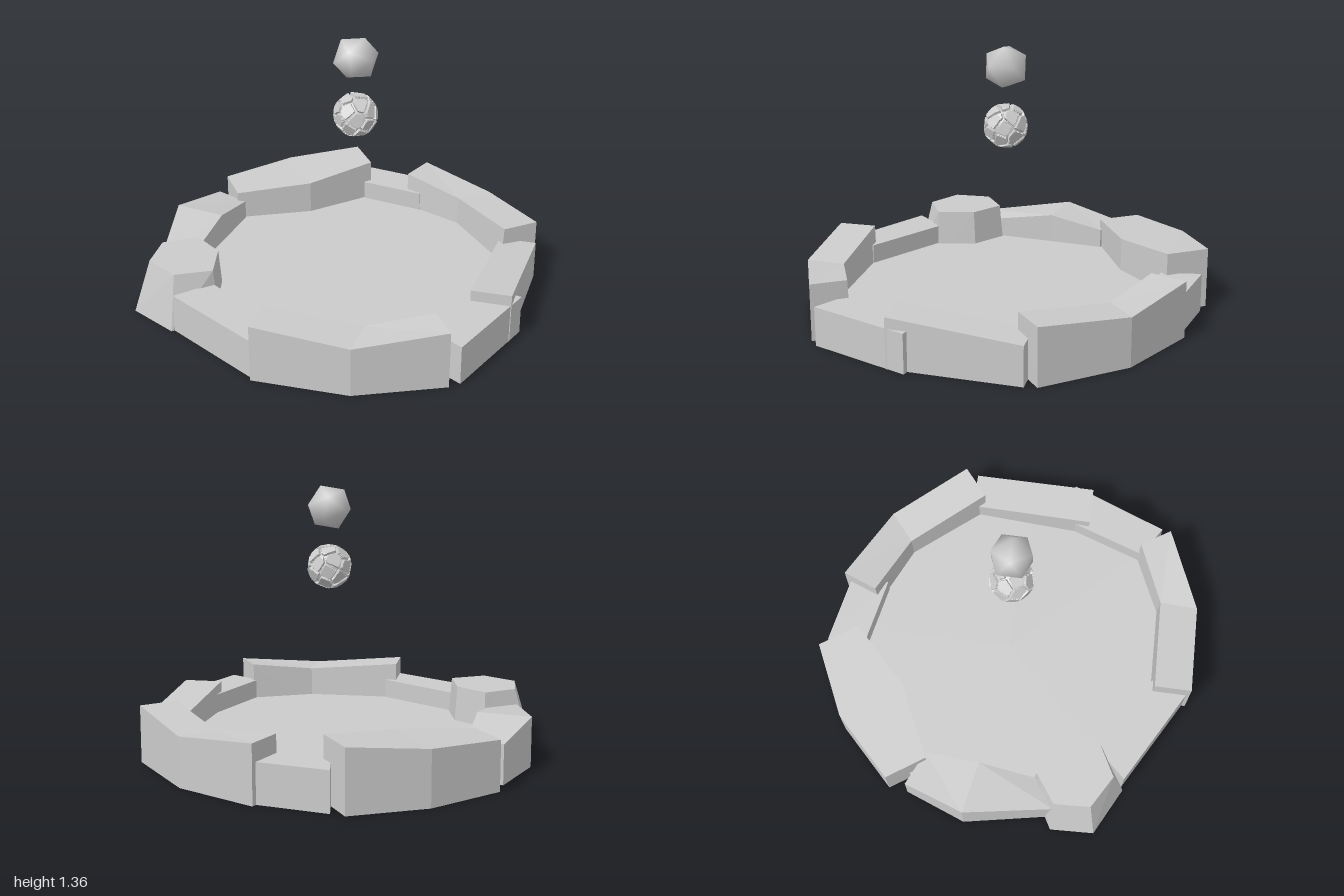
import * as THREE from 'three';
import { mergeVertices } from 'three/addons/utils/BufferGeometryUtils.js';
import { ConvexGeometry } from 'three/addons/geometries/ConvexGeometry.js';

const flat = new THREE.MeshStandardMaterial({ color: 0xcccccc, flatShading: true });
const smooth = new THREE.MeshStandardMaterial({ color: 0xcccccc });
const floorMat = new THREE.MeshStandardMaterial({ color: 0xcccccc, side: THREE.DoubleSide });

// Rim stone swept through stations: [outerX, outerZ, innerX, innerZ, topY].
// lean pushes the foot of the inner wall towards the centre.
function stoneGeometry(stations, lean) {
  const pos = [], idx = [];
  for (const [ox, oz, ix, iz, h] of stations) {
    const k = 1 - lean / Math.hypot(ix, iz);
    pos.push(ox, 0, oz, ox, h, oz, ix, h, iz, ix * k, 0, iz * k);
  }
  const quad = (a, b, c, d) => idx.push(a, b, c, a, c, d);
  for (let s = 0; s < stations.length - 1; s++) {
    const a = s * 4, b = a + 4;
    for (let k = 0; k < 4; k++) {
      const n = (k + 1) % 4;
      quad(a + k, a + n, b + n, b + k);
    }
  }
  const e = (stations.length - 1) * 4;
  quad(0, 3, 2, 1);
  quad(e, e + 1, e + 2, e + 3);
  const g = new THREE.BufferGeometry();
  g.setAttribute('position', new THREE.Float32BufferAttribute(pos, 3));
  g.setIndex(idx);
  g.computeVertexNormals();
  return g;
}

// Stones in order around the rim
const STONES = [
  ['backRightHandStone', [[-0.84, -0.54, -0.71, -0.35, 0.25], [-0.55, -0.83, -0.34, -0.53, 0.275], [-0.19, -1, -0.06, -0.81, 0.313]], 0],
  ['backStone', [[-0.12, -0.98, -0.09, -0.775, 0.2], [0.28, -0.905, 0.25, -0.71, 0.2]], 0],
  ['backLeftStone', [[0.24, -0.94, 0.17, -0.76, 0.292], [0.64, -0.74, 0.49, -0.615, 0.25], [0.95, -0.37, 0.8, -0.245, 0.292]], 0.012],
  ['leftStone', [[0.96, -0.31, 0.77, -0.31, 0.2], [0.93, 0.35, 0.73, 0.35, 0.257]], 0],
  ['frontLeftStone', [[0.965, 0.25, 0.76, 0.2, 0.2], [0.765, 0.76, 0.6, 0.66, 0.2]], 0],
  ['frontStone', [[0.72, 0.8, 0.62, 0.645, 0.292], [0.3, 0.985, 0.31, 0.785, 0.25], [-0.18, 0.99, -0.18, 0.795, 0.292]], 0.01],
  ['frontRightStone', [[-0.155, 0.985, -0.12, 0.785, 0.2], [-0.675, 0.69, -0.53, 0.53, 0.2]], 0],
  ['rightStone', [[-0.88, 0.34, -0.73, 0.24, 0.2], [-0.97, -0.12, -0.7, -0.07, 0.255], [-0.85, -0.44, -0.67, -0.36, 0.2]], 0],
];

// Ball of flat plates separated by grooves
function crackedBallGeometry(radius) {
  let seed = 7;
  const rand = () => (seed = (seed * 16807) % 2147483647) / 2147483647;
  const centres = [];
  const count = 28;
  for (let i = 0; i < count; i++) {
    const y = 1 - (2 * i + 1) / count, r = Math.sqrt(1 - y * y), a = i * 2.39996;
    centres.push(new THREE.Vector3(
      r * Math.cos(a) + (rand() - 0.5) * 0.3,
      y + (rand() - 0.5) * 0.3,
      r * Math.sin(a) + (rand() - 0.5) * 0.3).normalize());
  }
  const g = new THREE.IcosahedronGeometry(1, 30);
  const p = g.attributes.position, v = new THREE.Vector3();
  for (let i = 0; i < p.count; i++) {
    v.fromBufferAttribute(p, i).normalize();
    let best = -1, second = -1;
    for (const c of centres) {
      const d = v.dot(c);
      if (d > best) { second = best; best = d; } else if (d > second) second = d;
    }
    v.multiplyScalar(best - second < 0.035 ? radius * 0.9 : Math.min(radius * 0.965 / best, radius * 1.02));
    p.setXYZ(i, v.x, v.y, v.z);
  }
  g.computeVertexNormals();
  return g;
}

export function createModel() {
  const model = new THREE.Group();
  const add = (name, geometry, material) => {
    const mesh = new THREE.Mesh(geometry, material);
    mesh.name = name;
    model.add(mesh);
    return mesh;
  };

  // Stone rim
  for (const [name, stations, lean] of STONES) add(name, stoneGeometry(stations, lean), flat);

  // Tapered six-sided boulder
  const foot = [[-0.95, 0.34], [-0.72, 0.21], [-0.55, 0.33], [-0.5, 0.53], [-0.69, 0.7], [-0.94, 0.57]];
  const crown = [[-0.87, 0.34], [-0.72, 0.235], [-0.565, 0.345], [-0.52, 0.54], [-0.69, 0.63], [-0.86, 0.53]];
  add('cornerBoulder', new ConvexGeometry([
    ...foot.map(([x, z]) => new THREE.Vector3(x, 0, z)),
    ...crown.map(([x, z]) => new THREE.Vector3(x, 0.282, z)),
  ]), flat);

  // Basin floor, tucked into the rim
  const floor = add('floor', new THREE.CircleGeometry(0.9, 16), floorMat);
  floor.rotation.x = -Math.PI / 2;
  floor.position.y = 0.1;

  // Floating balls
  add('crackedBall', crackedBallGeometry(0.11), flat).position.set(0.06, 0.96, 0);
  const ico = new THREE.IcosahedronGeometry(0.116, 0);
  ico.deleteAttribute('normal');
  ico.deleteAttribute('uv');
  const gem = mergeVertices(ico, 1e-4);
  gem.computeVertexNormals();
  const upper = add('upperBall', gem, smooth);
  upper.position.set(0.06, 1.257, 0);
  upper.rotation.z = 0.15;

  return model;
}
